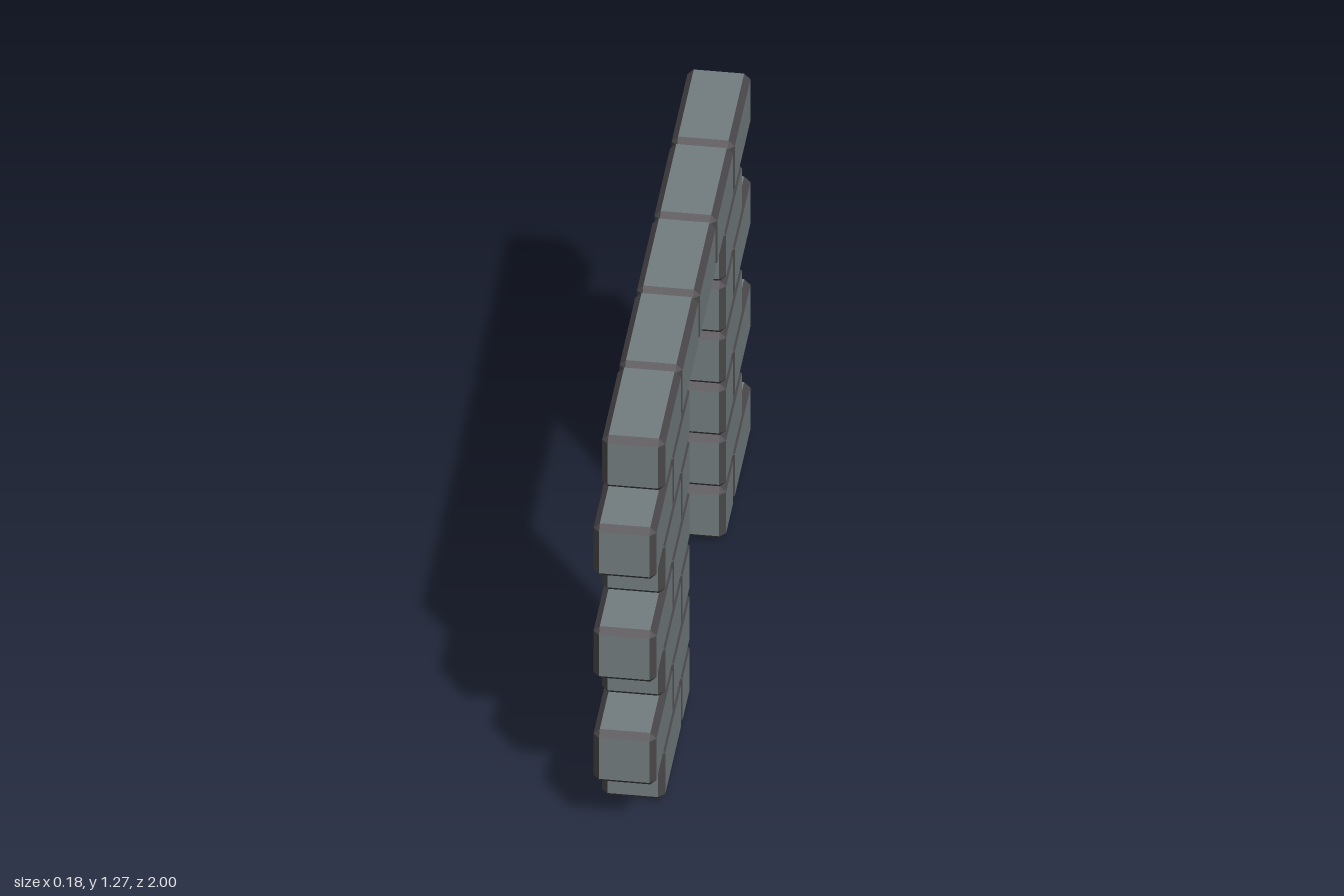
import * as THREE from 'three';

const U = 2 / 11;          // half-brick module: width, height and half length
const BEVEL = U * 0.1;

const stone = new THREE.MeshStandardMaterial({ color: 0x737c7e });
stone.name = 'stone grey';
const edge = new THREE.MeshStandardMaterial({ color: 0x494749 });
edge.name = 'dark edge grey';

// Box with chamfered edges; group 0 = flat faces, group 1 = chamfers and corners
function brickGeometry(w, h, d) {
  const half = [w / 2, h / 2, d / 2];
  const pos = [];
  // corner point lying on the flat face of the given axis
  const corner = (signs, axis) => new THREE.Vector3(
    ...half.map((v, i) => signs[i] * (i === axis ? v : v - BEVEL)));
  const tri = (a, b, c) => {
    const n = b.clone().sub(a).cross(c.clone().sub(a));
    const pts = n.dot(a) > 0 ? [a, b, c] : [a, c, b];
    pts.forEach(p => pos.push(p.x, p.y, p.z));
  };
  const quad = (a, b, c, d2) => { tri(a, b, c); tri(a, c, d2); };
  const S = [-1, 1];
  const at = (axis, s, t, u) => {
    const r = [0, 0, 0];
    r[axis] = s; r[(axis + 1) % 3] = t; r[(axis + 2) % 3] = u;
    return r;
  };

  // six flat faces
  for (let a = 0; a < 3; a++) for (const s of S) {
    const p = (t, u) => corner(at(a, s, t, u), a);
    quad(p(-1, -1), p(1, -1), p(1, 1), p(-1, 1));
  }
  const faceCount = pos.length / 3;

  // twelve chamfers, each running along axis a
  for (let a = 0; a < 3; a++) for (const t of S) for (const u of S) {
    const b = (a + 1) % 3, c = (a + 2) % 3;
    const lo = at(a, -1, t, u), hi = at(a, 1, t, u);
    quad(corner(lo, b), corner(hi, b), corner(hi, c), corner(lo, c));
  }
  // eight corner triangles
  for (const x of S) for (const y of S) for (const z of S) {
    tri(...[0, 1, 2].map(a => corner([x, y, z], a)));
  }

  const geo = new THREE.BufferGeometry();
  geo.setAttribute('position', new THREE.Float32BufferAttribute(pos, 3));
  geo.computeVertexNormals();
  geo.addGroup(0, faceCount, 0);
  geo.addGroup(faceCount, pos.length / 3 - faceCount, 1);
  return geo;
}

export function createModel() {
  const model = new THREE.Group();
  model.name = 'brickDoorway';
  const geos = { 1: brickGeometry(U, U, U), 2: brickGeometry(U, U, 2 * U) };

  // start = distance from the back end, length = 1 or 2 modules
  const brick = (parent, row, start, length) => {
    const mesh = new THREE.Mesh(geos[length], [stone, edge]);
    mesh.name = length === 2 ? 'brick' : 'halfBrick';
    mesh.position.set(0, (row + 0.5) * U, -1 + (start + length / 2) * U);
    parent.add(mesh);
  };
  const part = name => {
    const g = new THREE.Group();
    g.name = name;
    model.add(g);
    return g;
  };

  // two toothed piers with alternating courses
  const backPier = part('backPier');
  const frontPier = part('frontPier');
  for (let row = 0; row < 6; row++) {
    if (row % 2 === 0) {
      brick(backPier, row, 0, 2);
      brick(backPier, row, 2, 1);
      brick(frontPier, row, 7, 1);
      brick(frontPier, row, 8, 2);
    } else {
      brick(backPier, row, 1, 2);
      brick(frontPier, row, 7, 2);
      brick(frontPier, row, 9, 2);
    }
  }

  // top course spanning the opening
  const lintel = part('lintel');
  for (let i = 0; i < 5; i++) brick(lintel, 6, i * 2, 2);

  return model;
}
